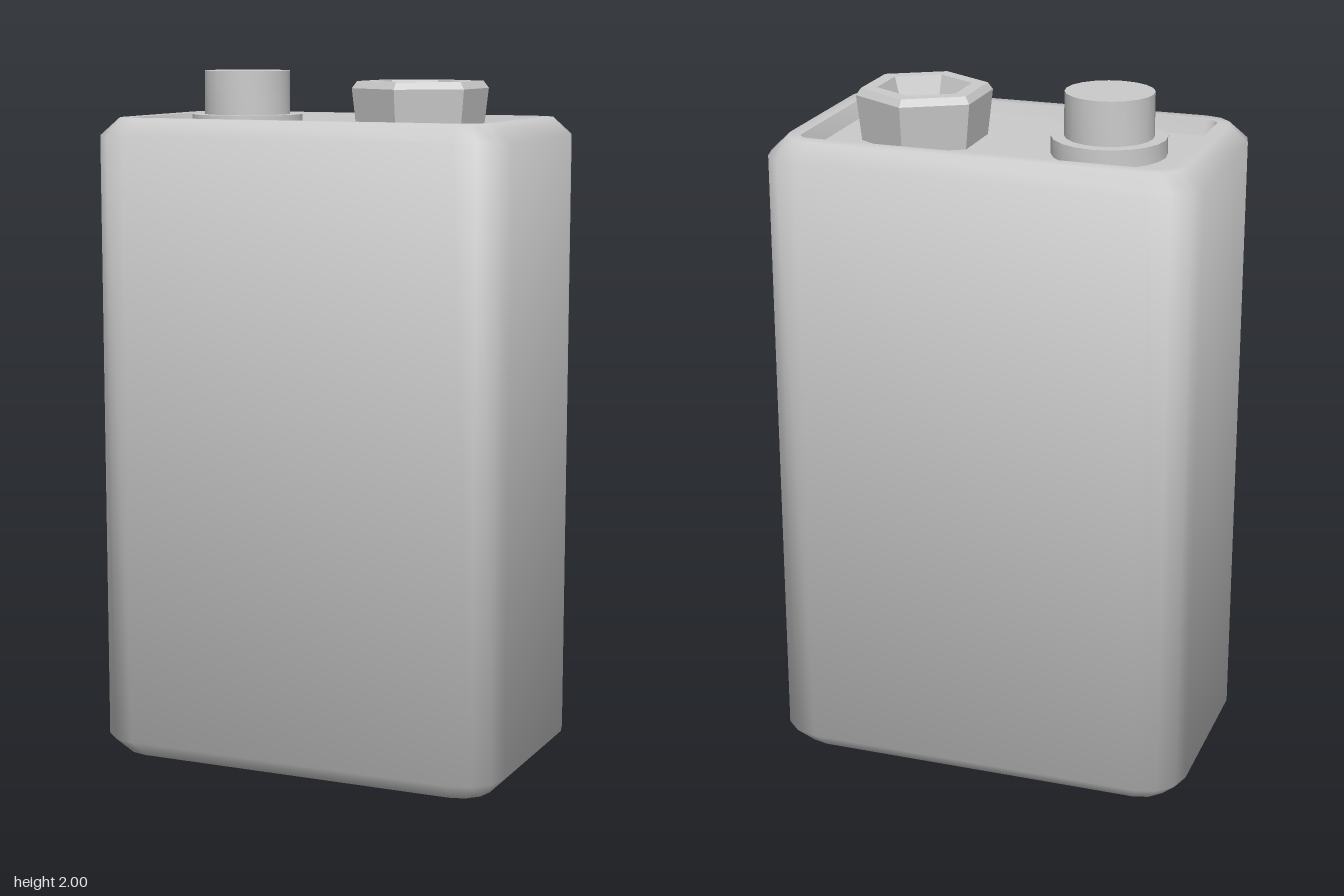
import * as THREE from 'three';
import { toCreasedNormals } from 'three/addons/utils/BufferGeometryUtils.js';

const grey = new THREE.MeshStandardMaterial({ color: 0xcccccc });
const greyFlat = new THREE.MeshStandardMaterial({ color: 0xcccccc, flatShading: true });
const CORNER_STEPS = 3;

// Rounded rectangle in the xz plane: half width, half depth, corner radius
function ring(y, hx, hz, r) {
  const points = [];
  for (let q = 0; q < 4; q++) {
    const sx = q === 0 || q === 3 ? 1 : -1;
    const sz = q < 2 ? 1 : -1;
    for (let s = 0; s <= CORNER_STEPS; s++) {
      const a = (q + s / CORNER_STEPS) * Math.PI / 2;
      points.push([sx * (hx - r) + r * Math.cos(a), y, sz * (hz - r) + r * Math.sin(a)]);
    }
  }
  return points;
}

// Skin a stack of rings; a ring of size 0 closes the surface
function loft(rings) {
  const n = rings[0].length;
  const index = [];
  for (let k = 0; k < rings.length - 1; k++) {
    for (let i = 0; i < n; i++) {
      const a = k * n + i, b = k * n + (i + 1) % n;
      if (k < rings.length - 2) index.push(a, a + n, b + n);
      if (k > 0) index.push(a, b + n, b);
      if (k === rings.length - 2) index.pop(), index.pop(), index.pop(), index.push(a, a + n, b);
    }
  }
  const geometry = new THREE.BufferGeometry();
  geometry.setAttribute('position', new THREE.Float32BufferAttribute(rings.flat(2), 3));
  geometry.setIndex(index);
  return toCreasedNormals(geometry, Math.PI / 3);
}

function lathe(profile, segments) {
  return new THREE.LatheGeometry(profile.map(([r, y]) => new THREE.Vector2(r, y)), segments);
}

function addMesh(group, name, geometry, material, x = 0, z = 0) {
  const mesh = new THREE.Mesh(geometry, material);
  mesh.name = name;
  mesh.position.set(x, 0, z);
  group.add(mesh);
  return mesh;
}

export function createModel() {
  const group = new THREE.Group();
  group.name = 'battery';

  // Case with bevelled edges and a shallow recess in both ends
  const body = addMesh(group, 'case', loft([
    ring(0.03, 0, 0, 0),
    ring(0.03, 0.51, 0.265, 0.005),
    ring(0, 0.52, 0.27, 0.005),
    ring(0, 0.57, 0.32, 0.09),
    ring(0.05, 0.62, 0.368, 0.12),
    ring(1.82, 0.62, 0.368, 0.12),
    ring(1.87, 0.57, 0.32, 0.09),
    ring(1.87, 0.53, 0.277, 0.035),
    ring(1.825, 0.512, 0.265, 0.03),
    ring(1.825, 0, 0, 0),
  ]), grey);
  body.rotation.y = 0.008;

  // Round stud on a flange
  addMesh(group, 'roundTerminal', toCreasedNormals(lathe([
    [0.162, 1.825], [0.162, 1.875], [0.125, 1.875], [0.125, 2], [0, 2],
  ], 20), Math.PI / 4), grey, -0.287, 0);

  // Flared hexagonal cup
  addMesh(group, 'hexagonalTerminal', lathe([
    [0.18, 1.825], [0.195, 1.955], [0.18, 1.975], [0.135, 1.975], [0.115, 1.92], [0, 1.92],
  ], 6), greyFlat, 0.255, -0.005);

  return group;
}
